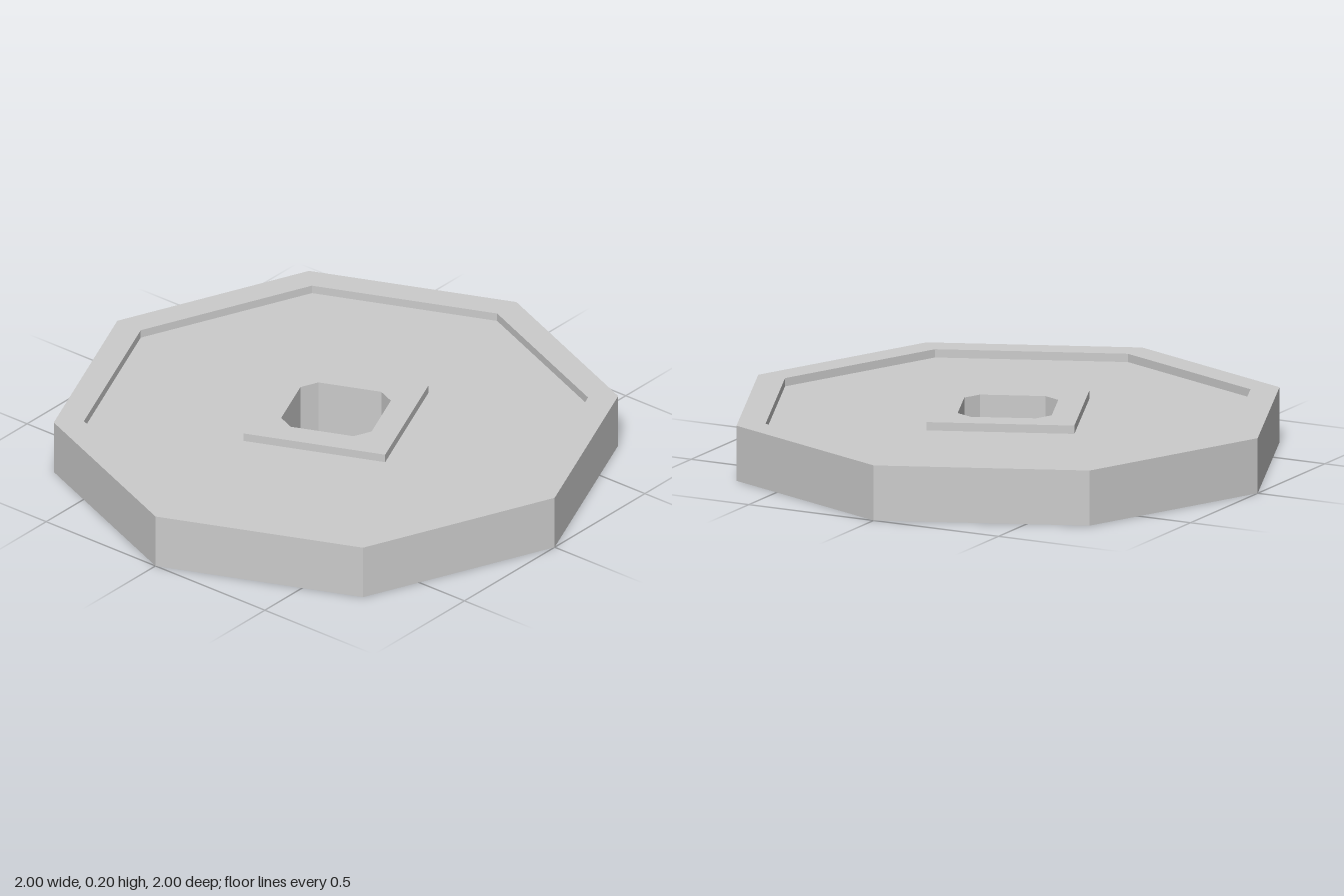
import * as THREE from 'three';

const rad = THREE.MathUtils.degToRad;

// Points at the given radius and angles (degrees)
const ring = (radius, angles) =>
  angles.map((a) => new THREE.Vector2(radius * Math.cos(rad(a)), radius * Math.sin(rad(a))));

export function createModel() {
  const group = new THREE.Group();
  const material = new THREE.MeshStandardMaterial({ color: 0xcccccc, flatShading: true });

  // Flat plate with a hole, lying between heights y0 and y1
  function addPlate(name, outline, hole, y0, y1) {
    const shape = new THREE.Shape(outline);
    shape.holes.push(new THREE.Path(hole));
    const geometry = new THREE.ExtrudeGeometry(shape, { depth: y1 - y0, bevelEnabled: false });
    geometry.rotateX(-Math.PI / 2).translate(0, y0, 0);
    const mesh = new THREE.Mesh(geometry, material);
    mesh.name = name;
    group.add(mesh);
  }

  const eighths = Array.from({ length: 8 }, (_, i) => i * 45);
  const corners = Array.from({ length: 4 }, (_, i) => 67.5 + i * 90);

  const octagon = ring(1, eighths);
  const innerOctagon = ring(0.893, eighths);
  const square = ring(0.37, corners);
  // Square bore with clipped corners
  const bore = ring(0.203, corners.flatMap((a) => [a - 10.2, a + 10.2]));

  addPlate('rim', octagon, innerOctagon, 0, 0.2);
  // Web recessed on both faces
  addPlate('web', innerOctagon, square, 0.03, 0.17);
  addPlate('hub', square, bore, 0, 0.2);

  return group;
}
